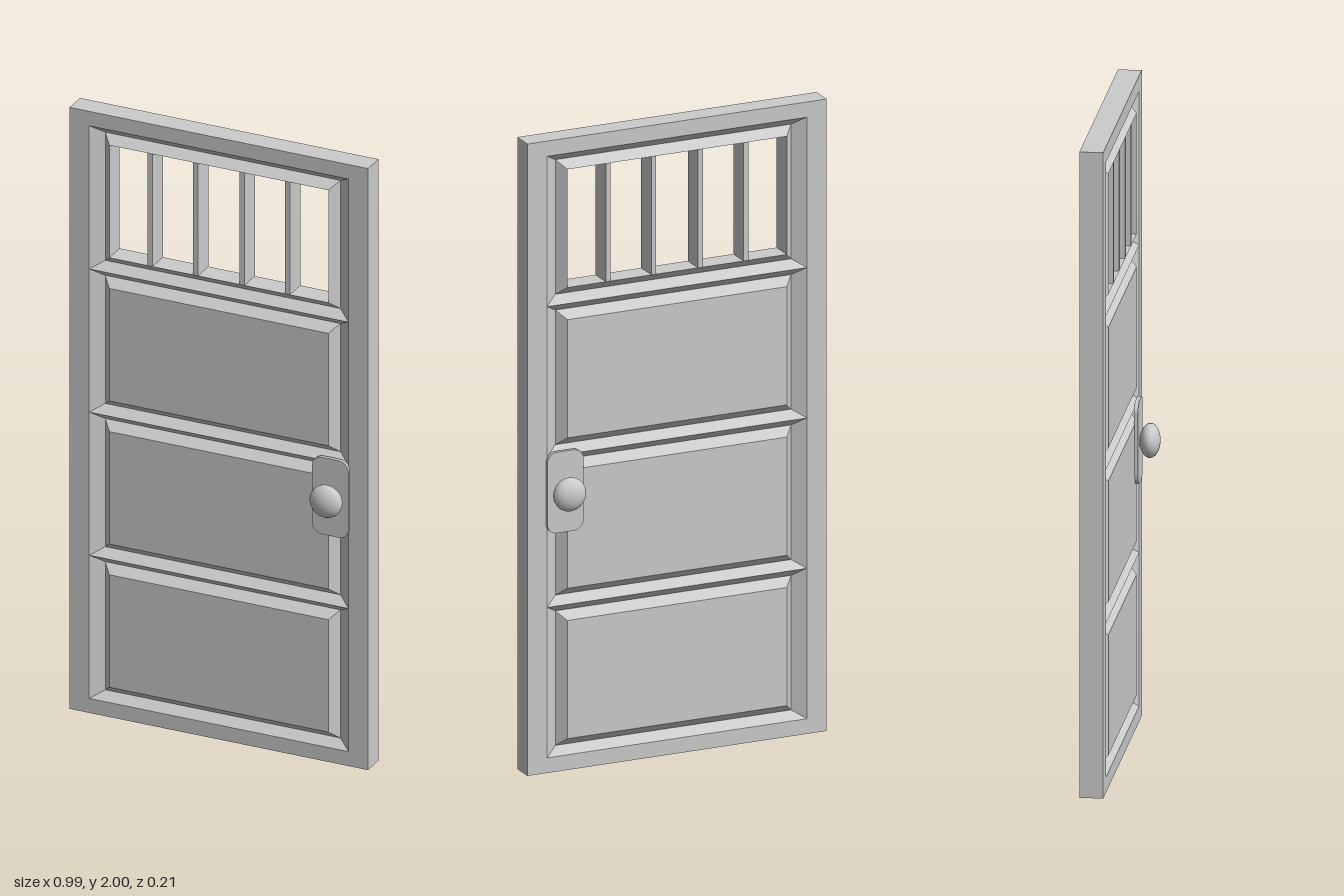
import * as THREE from 'three';

const HALF_DEPTH = 0.036;
const GROOVE_Z = 0.008;

// Connects rectangular cross-sections [halfWidth, y0, y1, z] in order,
// with an optional cap on the last one. Flat faces.
function loft(sections, cap, material) {
  const loops = sections.map(([w, y0, y1, z]) => [
    [-w, y0, z], [w, y0, z], [w, y1, z], [-w, y1, z],
  ]);
  const pos = [];
  const quad = (a, b, c, d) => pos.push(...a, ...b, ...c, ...a, ...c, ...d);
  for (let k = 0; k < loops.length - 1; k++) {
    const a = loops[k], b = loops[k + 1];
    for (let i = 0; i < 4; i++) {
      const j = (i + 1) % 4;
      quad(a[i], a[j], b[j], b[i]);
    }
  }
  if (cap) quad(...loops[loops.length - 1]);
  const geo = new THREE.BufferGeometry();
  geo.setAttribute('position', new THREE.Float32BufferAttribute(pos, 3));
  geo.computeVertexNormals();
  return new THREE.Mesh(geo, material);
}

// Plate outline with rounded corners
function roundedRect(w, h, r) {
  const s = new THREE.Shape();
  const x = w / 2, y = h / 2;
  s.absarc(x - r, y - r, r, 0, Math.PI / 2);
  s.absarc(-x + r, y - r, r, Math.PI / 2, Math.PI);
  s.absarc(-x + r, -y + r, r, Math.PI, Math.PI * 1.5);
  s.absarc(x - r, -y + r, r, Math.PI * 1.5, Math.PI * 2);
  s.closePath();
  return s;
}

export function createModel() {
  const model = new THREE.Group();
  model.name = 'door';
  const mat = new THREE.MeshStandardMaterial({ color: 0xcccccc });
  const add = (mesh, name, parent = model) => {
    mesh.name = name;
    parent.add(mesh);
    return mesh;
  };

  // Outer frame
  const bottom = 0.048, pitch = 0.476, top = bottom + 4 * pitch;
  const D = HALF_DEPTH;
  add(loft([
    [0.43, bottom, top, -D],
    [0.495, 0, 2, -D],
    [0.495, 0, 2, D],
    [0.43, bottom, top, D],
  ], false, mat), 'frame');

  // Four cells edged by a V-groove: three solid panels, then the window
  for (let i = 0; i < 4; i++) {
    const y0 = bottom + i * pitch, y1 = y0 + pitch;
    const edge = [
      [0.43, y0, y1, D],
      [0.39, y0 + 0.025, y1 - 0.025, GROOVE_Z],
      [0.363, y0 + 0.051, y1 - 0.051, D],
    ];
    if (i < 3) {
      add(loft(edge, true, mat), 'panelFront');
      add(loft(edge, true, mat), 'panelBack').rotation.y = Math.PI;
    } else {
      const back = edge.map(([w, a, b, z]) => [w, a, b, -z]).reverse();
      add(loft([...edge, ...back], false, mat), 'windowSurround');
      // Window bars
      const h = pitch - 0.102;
      for (const x of [-0.228, -0.077, 0.077, 0.228]) {
        const bar = add(new THREE.Mesh(new THREE.BoxGeometry(0.016, h, 2 * D), mat), 'windowBar');
        bar.position.set(x, (y0 + y1) / 2, 0);
      }
    }
  }

  // Knob and plate on both faces
  const plateGeo = new THREE.ExtrudeGeometry(roundedRect(0.12, 0.256, 0.032), {
    depth: 0.012, bevelEnabled: false, curveSegments: 4,
  });
  const knobGeo = new THREE.SphereGeometry(1, 20, 14).rotateX(Math.PI / 2).scale(0.053, 0.053, 0.031);
  const stemGeo = new THREE.CylinderGeometry(0.022, 0.022, 0.03, 12).rotateX(Math.PI / 2);
  for (const side of [1, -1]) {
    const handle = add(new THREE.Group(), side > 0 ? 'frontHandle' : 'backHandle');
    handle.position.set(0.374, 0.886, 0);
    if (side < 0) handle.rotation.y = Math.PI;
    add(new THREE.Mesh(plateGeo, mat), 'plate', handle).position.z = D - 0.002;
    add(new THREE.Mesh(stemGeo, mat), 'stem', handle).position.z = 0.05;
    add(new THREE.Mesh(knobGeo, mat), 'knob', handle).position.z = 0.0755;
  }
  return model;
}
